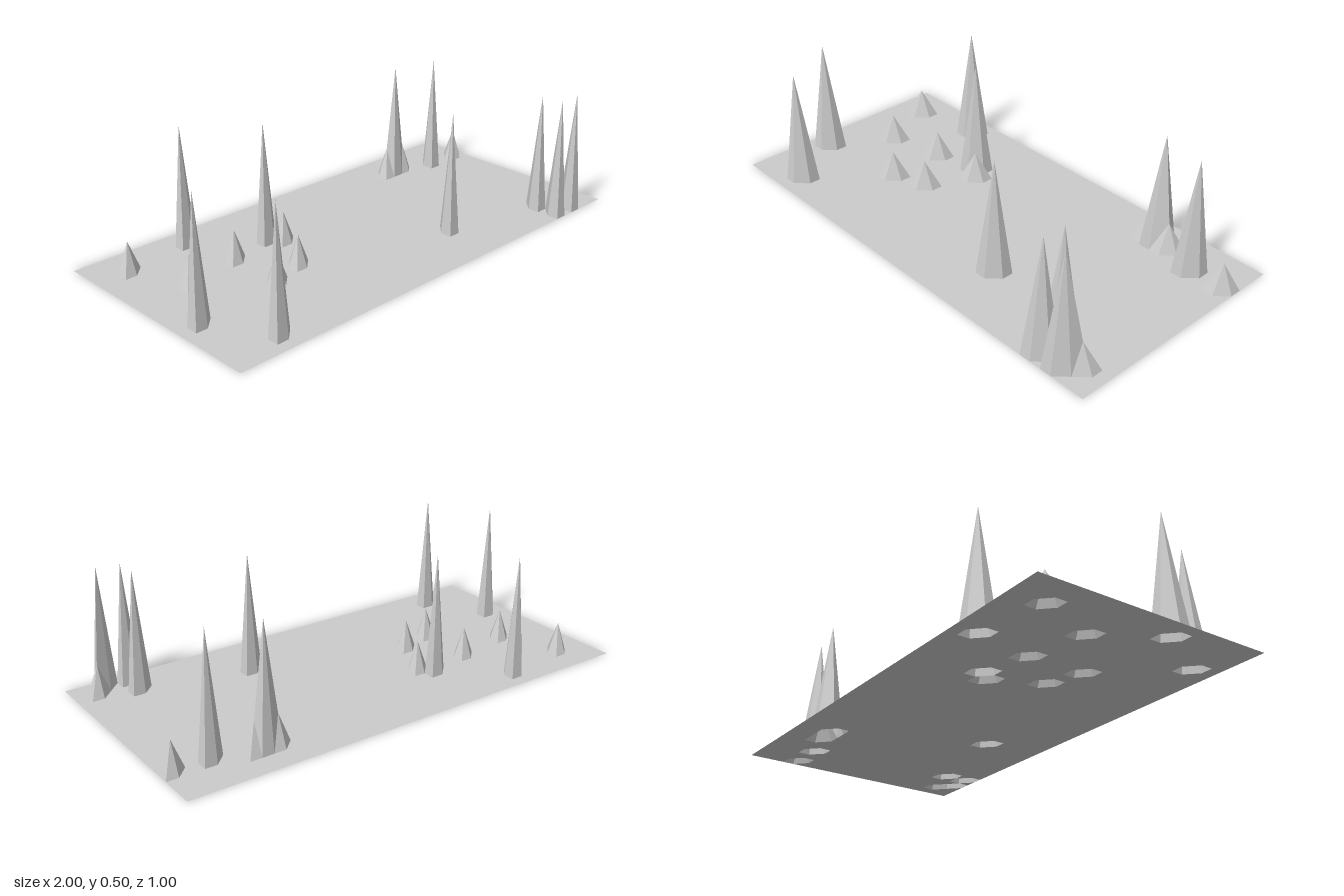
import * as THREE from 'three';

const CELL = 0.05, COLS = 40, ROWS = 20;
const TALL = 0.5, SMALL = 0.125;

// Grid points [x, z] raised out of the flat sheet
const tallPeaks = [
  [-0.9, 0.15], [-0.75, 0.4], [-0.55, -0.4], [-0.3, -0.2], [0.3, 0.25],
  [0.6, -0.35], [0.75, 0.35], [0.75, 0.45], [0.8, -0.3], [0.85, 0.45],
];
const smallPeaks = [
  [-0.85, -0.35], [-0.75, -0.1], [-0.5, -0.15], [-0.5, 0.1], [-0.35, 0.05],
  [-0.25, -0.15], [0.55, -0.35], [0.65, -0.35], [0.9, 0.4], [0.95, -0.3],
];

export function createModel() {
  const group = new THREE.Group();
  group.name = 'spikedTerrain';

  // Flat gridded sheet
  const geometry = new THREE.PlaneGeometry(COLS * CELL, ROWS * CELL, COLS, ROWS);
  geometry.rotateX(-Math.PI / 2);

  // Raise single grid points into spikes
  const position = geometry.attributes.position;
  const raise = (peaks, height) => {
    for (const [x, z] of peaks) {
      const col = Math.round(x / CELL) + COLS / 2;
      const row = Math.round(z / CELL) + ROWS / 2;
      position.setY(row * (COLS + 1) + col, height);
    }
  };
  raise(tallPeaks, TALL);
  raise(smallPeaks, SMALL);

  const faceted = geometry.toNonIndexed();
  faceted.computeVertexNormals();

  const material = new THREE.MeshStandardMaterial({
    color: 0xcccccc, flatShading: true, side: THREE.DoubleSide,
  });
  const terrain = new THREE.Mesh(faceted, material);
  terrain.name = 'terrain';
  group.add(terrain);
  return group;
}
